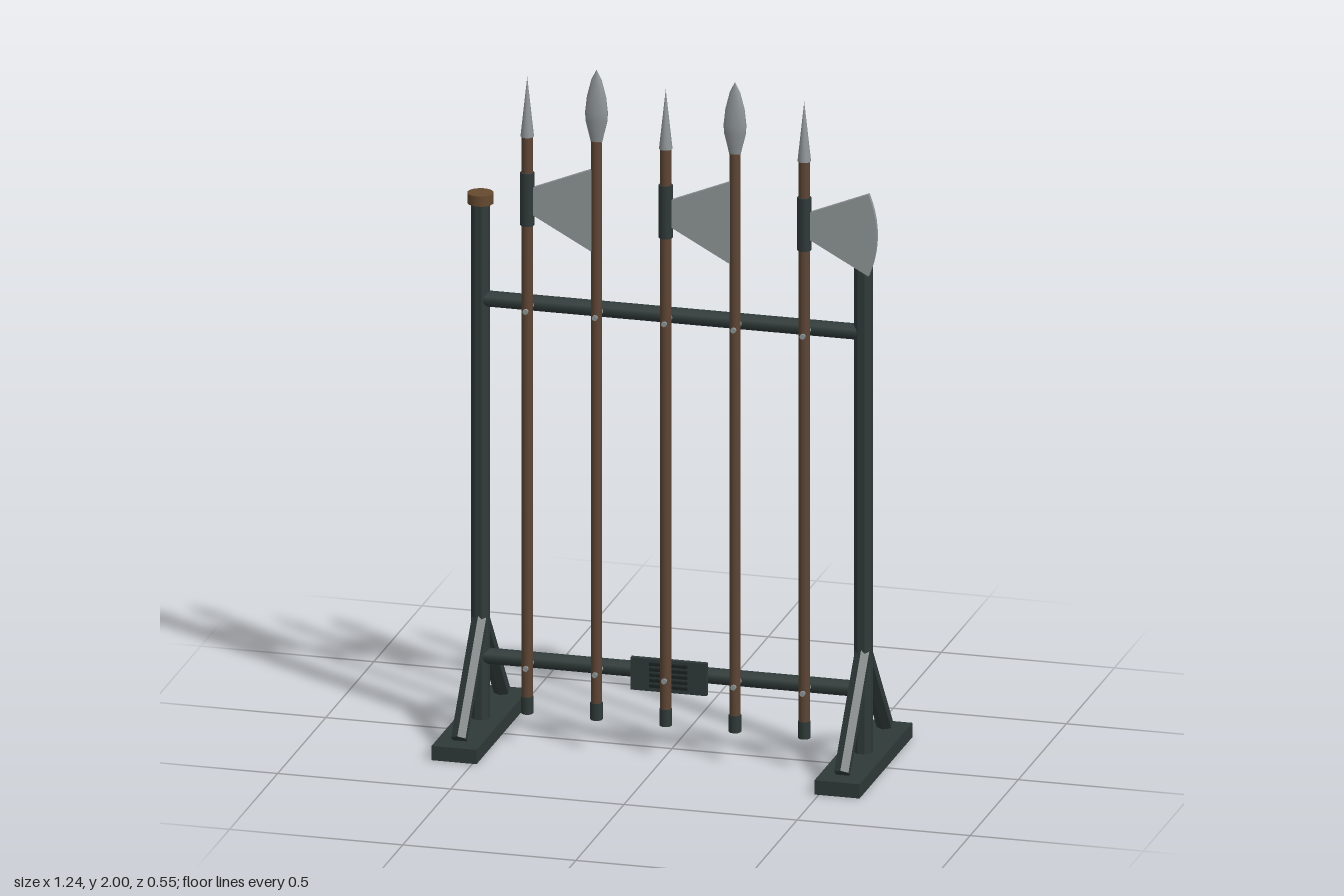
import * as THREE from 'three';

const mat = (name, color) => {
  const m = new THREE.MeshStandardMaterial({ color });
  m.name = name;
  return m;
};

export function createModel() {
  const frame = mat('dark green iron', 0x2f3a38);
  const wood = mat('shaft wood', 0x5e4636);
  const bronze = mat('cap brown', 0x64492f);
  const steel = mat('steel', 0x8f9597);
  const black = mat('black iron', 0x1a2020);
  for (const m of [frame, wood, bronze, steel, black]) m.flatShading = false;

  const model = new THREE.Group();
  const add = (parent, name, geo, material, x = 0, y = 0, z = 0) => {
    const mesh = new THREE.Mesh(geo, material);
    mesh.name = name;
    mesh.position.set(x, y, z);
    parent.add(mesh);
    return mesh;
  };
  // Faceted cylinder between two heights
  const rod = (r0, r1, h, sides) => new THREE.CylinderGeometry(r1, r0, h, sides);
  const flat = (geo) => {
    const g = geo.toNonIndexed();
    g.computeVertexNormals();
    return g;
  };

  // Two stands: foot, post, cap and a pair of diagonal braces
  for (const side of [-1, 1]) {
    const stand = new THREE.Group();
    stand.name = side < 0 ? 'rightStand' : 'leftStand';
    stand.position.x = side * 0.553;
    model.add(stand);
    add(stand, 'foot', new THREE.BoxGeometry(0.13, 0.042, 0.55), frame, 0, 0.021, 0);
    const post = flat(rod(0.027, 0.027, 1.52, 8).rotateY(Math.PI / 8));
    add(stand, 'post', post, frame, 0, 0.8, 0);
    add(stand, 'postCap', rod(0.037, 0.037, 0.03, 16), bronze, 0, 1.57, 0);
    for (const s of [-1, 1]) {
      const a = new THREE.Vector3(0, 0.05, s * 0.222);
      const b = new THREE.Vector3(0, 0.335, s * 0.005);
      const brace = add(stand, 'brace', flat(rod(0.024, 0.024, a.distanceTo(b), 6)), frame);
      brace.position.copy(a).lerp(b, 0.5);
      brace.quaternion.setFromUnitVectors(new THREE.Vector3(0, 1, 0), b.sub(a).normalize());
    }
  }

  // Cross rails
  for (const y of [0.225, 1.275]) {
    add(model, 'rail', rod(0.023, 0.023, 1.106, 12).rotateZ(Math.PI / 2), frame, 0, y, 0);
  }

  // Mounting plate with raised slats on the lower rail
  const plate = new THREE.Group();
  plate.name = 'railPlate';
  model.add(plate);
  add(plate, 'plate', new THREE.BoxGeometry(0.22, 0.095, 0.014), frame, 0, 0.223, 0.028);
  for (let i = 0; i < 5; i++) {
    add(plate, 'slat', new THREE.BoxGeometry(0.11, 0.008, 0.009), black, 0, 0.193 + i * 0.016, 0.039);
  }

  // Axe blade outline, measured from the shaft axis
  const outline = new THREE.Shape();
  outline.moveTo(0.012, 1.56);
  outline.lineTo(0.187, 1.465);
  outline.quadraticCurveTo(0.235, 1.585, 0.187, 1.706);
  outline.lineTo(0.012, 1.635);
  outline.closePath();
  const bladeGeo = new THREE.ExtrudeGeometry(outline, { depth: 0.014, bevelEnabled: false, curveSegments: 10 });
  bladeGeo.translate(0, 0, -0.007);

  // Leaf-shaped spear head, slightly flattened front to back
  const leafGeo = new THREE.LatheGeometry([
    [0.016, 1.785], [0.022, 1.81], [0.032, 1.85], [0.033, 1.875], [0.028, 1.92], [0.015, 1.97], [0, 2.0],
  ].map(([x, y]) => new THREE.Vector2(x, y)), 10).scale(1, 1, 0.55);

  // Five polearms: axes with spikes alternate with leaf spears
  for (let i = 0; i < 5; i++) {
    const isAxe = i % 2 === 0;
    const arm = new THREE.Group();
    arm.name = isAxe ? 'poleAxe' : 'spear';
    arm.position.set(-0.4 + i * 0.2, 0, 0.065);
    model.add(arm);
    add(arm, 'shaft', rod(0.0155, 0.0155, 1.68, 10), wood, 0, 0.95, 0);
    add(arm, 'buttCap', rod(0.0175, 0.0175, 0.05, 10), frame, 0, 0.115, 0);
    if (isAxe) {
      add(arm, 'socket', rod(0.02, 0.02, 0.155, 10), frame, 0, 1.602, 0);
      add(arm, 'blade', bladeGeo, steel);
      add(arm, 'spike', rod(0.019, 0, 0.175, 10), steel, 0, 1.873, 0);
    } else {
      add(arm, 'leafHead', leafGeo, steel);
    }
    // Pegs holding the shaft to both rails
    for (const y of [0.225, 1.275]) {
      add(arm, 'peg', rod(0.008, 0.008, 0.07, 8).rotateX(Math.PI / 2), steel, 0, y, -0.013);
    }
  }
  return model;
}
